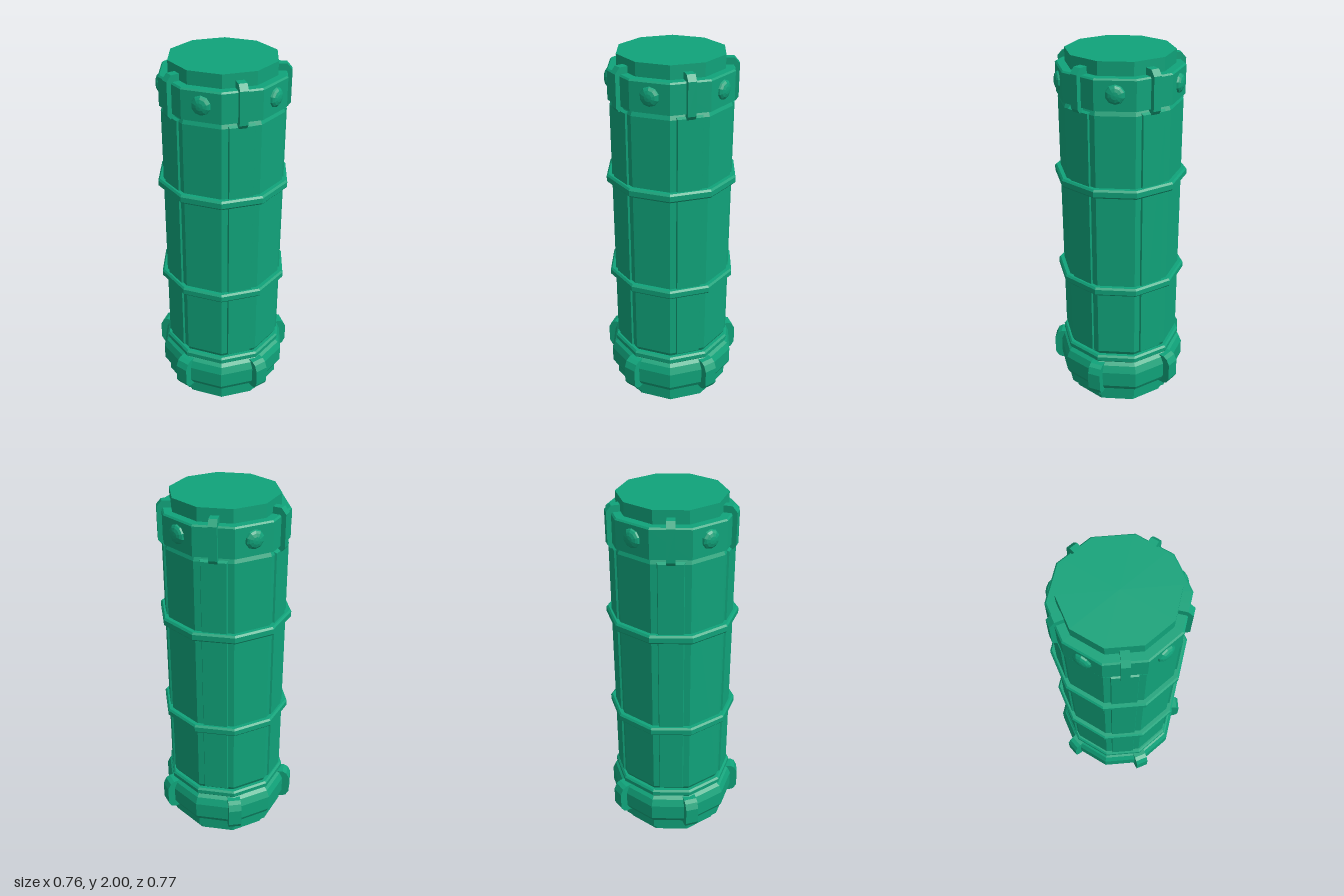
import * as THREE from 'three';

const SIDES = 10;
const STEP = Math.PI / 5;

export function createModel() {
  const model = new THREE.Group();
  model.name = 'pillar';
  const green = new THREE.MeshStandardMaterial({ color: 0x10a37a, flatShading: true });
  green.name = 'green';

  const add = (name, geometry) => {
    const mesh = new THREE.Mesh(geometry, green);
    mesh.name = name;
    model.add(mesh);
    return mesh;
  };

  // Ten-sided turned part from [radius, y] points, with corners on the x axis
  const turned = (name, points) =>
    add(name, new THREE.LatheGeometry(
      points.map(([r, y]) => new THREE.Vector2(r, y)), SIDES, Math.PI / 2));

  // Five copies around the axis; local +x points outward
  const around = (name, geometry, start) => {
    for (let i = 0; i < 5; i++) {
      add(name, geometry).rotation.y = -(start + i * 2 * STEP);
    }
  };

  // Outline in the radius/height plane, given a width across
  const bracket = (points, width) => {
    const shape = new THREE.Shape(points.map(([r, y]) => new THREE.Vector2(r, y)));
    return new THREE.ExtrudeGeometry(shape, { depth: width, bevelEnabled: false })
      .translate(0, 0, -width / 2);
  };

  // Hollow foot and bulging base
  turned('base', [
    [0, 0.1], [0.25, 0.1], [0.25, 0], [0.297, 0], [0.297, 0.05], [0.333, 0.05],
    [0.333, 0.105], [0.348, 0.115], [0.365, 0.145], [0.365, 0.235],
    [0.348, 0.275], [0.325, 0.292], [0, 0.292],
  ]);
  turned('baseRing', [
    [0.3, 0.292], [0.33, 0.292], [0.34, 0.302], [0.34, 0.325], [0.33, 0.335], [0.3, 0.335],
  ]);

  // Main shaft
  turned('shaft', [[0.31, 0.29], [0.311, 0.335], [0.325, 0.36], [0.325, 1.745], [0.312, 1.775]]);

  // Shaft rings
  for (const y of [0.768, 1.343]) {
    turned('shaftRing', [
      [0.31, y - 0.024], [0.346, y - 0.024], [0.355, y - 0.014],
      [0.355, y + 0.014], [0.346, y + 0.024], [0.31, y + 0.024],
    ]);
  }

  // Collar and top cap
  turned('collar', [[0.3, 1.772], [0.333, 1.772], [0.333, 1.922], [0.325, 1.93], [0, 1.93]]);
  turned('cap', [[0.2825, 1.92], [0.2825, 2], [0, 2]]);

  // Bevelled raised strips on alternate faces
  const strip = new THREE.BoxGeometry(0.03, 1.425, 0.15);
  const pos = strip.attributes.position;
  for (let i = 0; i < pos.count; i++) {
    if (pos.getX(i) > 0) {
      pos.setY(i, pos.getY(i) * 0.976);
      pos.setZ(i, pos.getZ(i) * 0.85);
    }
  }
  strip.translate(0.304, 1.053, 0);
  around('strip', strip, STEP * 1.5);

  // Hooked clamps over the collar, above the strips
  around('collarClamp', bracket([
    [0.27, 1.92], [0.29, 1.745], [0.326, 1.745], [0.341, 1.765],
    [0.341, 1.935], [0.315, 1.965], [0.27, 1.965],
  ], 0.043), STEP * 1.5);

  // Domed rivets between the clamps
  const rivet = new THREE.SphereGeometry(0.05, 10, 4, 0, Math.PI * 2, 0, Math.PI / 2);
  rivet.rotateZ(-Math.PI / 2).scale(0.5, 1, 1).translate(0.316, 1.855, 0);
  around('rivet', rivet, STEP / 2);

  // Rounded brackets on the corners of the base
  around('baseBracket', bracket([
    [0.32, 0.1], [0.355, 0.1], [0.378, 0.11], [0.395, 0.14], [0.395, 0.24],
    [0.378, 0.275], [0.355, 0.287], [0.32, 0.287],
  ], 0.072), STEP);

  // Centre the overall width
  for (const part of model.children) part.position.x = 0.0145;
  return model;
}
